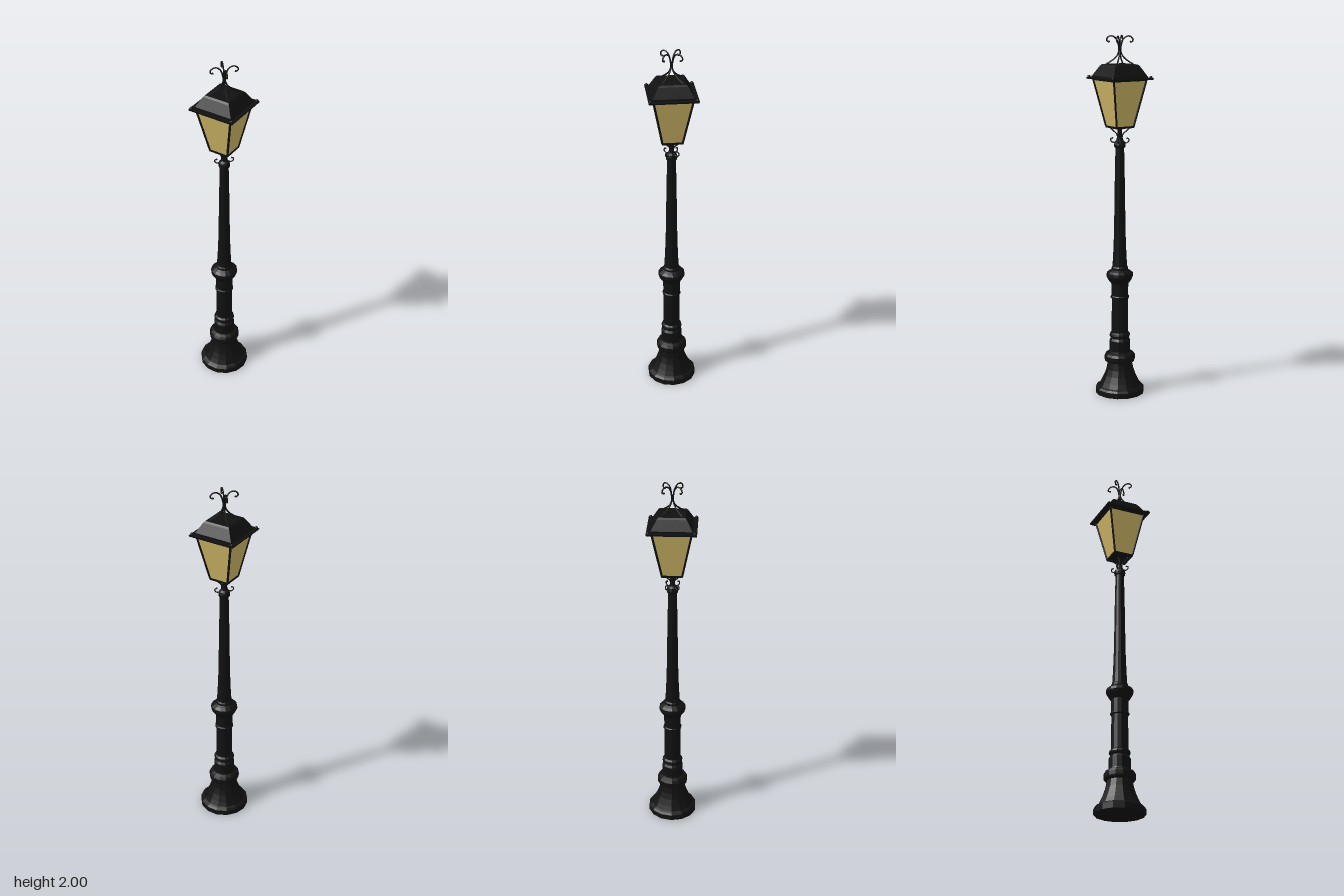
import * as THREE from 'three';

const iron = new THREE.MeshStandardMaterial({ color: 0x111111 });
const ironFlat = new THREE.MeshStandardMaterial({ color: 0x111111, flatShading: true });
const glass = new THREE.MeshStandardMaterial({ color: 0xd0b868, flatShading: true });

const v = (x, y, z) => new THREE.Vector3(x, y, z);

function add(parent, name, geometry, material) {
  const mesh = new THREE.Mesh(geometry, material);
  mesh.name = name;
  parent.add(mesh);
  return mesh;
}

// Turned section from [radius, height] pairs, fourteen-sided
function turned(parent, name, points) {
  const geo = new THREE.LatheGeometry(points.map(([r, y]) => new THREE.Vector2(r, y)), 14);
  return add(parent, name, geo.rotateY(Math.PI / 2), ironFlat);
}

// Square frustum with given half widths
function frustum(parent, name, halfTop, halfBottom, y0, y1, material) {
  const geo = new THREE.CylinderGeometry(halfTop * Math.SQRT2, halfBottom * Math.SQRT2, y1 - y0, 4);
  geo.rotateY(Math.PI / 4).translate(0, (y0 + y1) / 2, 0);
  return add(parent, name, geo, material);
}

// Bent rod lying in the diagonal plane x = z, from [x, y] pairs
function scroll(parent, name, points, radius) {
  const curve = new THREE.CatmullRomCurve3(points.map(([x, y]) => v(x, y, x)));
  add(parent, name, new THREE.TubeGeometry(curve, 40, radius, 6), iron);
  const [x, y] = points[points.length - 1];
  add(parent, name + 'Tip', new THREE.SphereGeometry(radius * 1.4, 8, 6), iron).position.set(x, y, x);
}

function bar(parent, name, a, b, radius) {
  add(parent, name, new THREE.TubeGeometry(new THREE.LineCurve3(a, b), 1, radius, 6), iron);
}

export function createModel() {
  const lamp = new THREE.Group();
  lamp.name = 'streetLamp';

  // Post, from the ground upward
  turned(lamp, 'base', [
    [0, 0], [0.137, 0], [0.137, 0.03], [0.128, 0.04], [0.117, 0.045], [0.104, 0.07],
    [0.088, 0.105], [0.076, 0.14], [0.068, 0.18], [0.083, 0.185], [0.086, 0.195],
    [0.086, 0.217], [0.078, 0.23], [0.06, 0.238], [0.058, 0.245],
  ]);
  turned(lamp, 'lowerColumn', [
    [0.058, 0.245], [0.058, 0.305], [0.049, 0.318], [0.055, 0.325], [0.058, 0.335],
    [0.055, 0.345], [0.046, 0.352], [0.045, 0.545], [0.051, 0.55], [0.051, 0.56],
    [0.047, 0.565], [0.048, 0.635],
  ]);
  turned(lamp, 'bulb', [
    [0.048, 0.635], [0.056, 0.642], [0.069, 0.662], [0.075, 0.678], [0.073, 0.694],
    [0.06, 0.705], [0.046, 0.713], [0.046, 0.725], [0.041, 0.732],
  ]);
  turned(lamp, 'shaft', [
    [0.041, 0.732], [0.037, 0.8], [0.033, 0.9], [0.031, 1.0], [0.028, 1.2], [0.024, 1.392],
    [0.03, 1.397], [0.032, 1.41], [0.028, 1.425], [0.016, 1.435], [0.013, 1.455],
    [0.013, 1.49], [0.018, 1.508], [0, 1.508],
  ]);

  // Lantern body
  const lantern = new THREE.Group();
  lantern.name = 'lantern';
  lamp.add(lantern);
  frustum(lantern, 'lanternFloor', 0.058, 0.056, 1.503, 1.514, ironFlat);
  frustum(lantern, 'glassPanes', 0.103, 0.053, 1.512, 1.768, glass);
  frustum(lantern, 'eaves', 0.132, 0.13, 1.765, 1.774, ironFlat);
  frustum(lantern, 'roofRim', 0.11, 0.11, 1.774, 1.783, ironFlat);
  frustum(lantern, 'roof', 0.078, 0.108, 1.783, 1.836, ironFlat);
  frustum(lantern, 'roofCap', 0.07, 0.078, 1.836, 1.845, ironFlat);

  // Parts repeated at each corner
  for (let i = 0; i < 4; i++) {
    const corner = new THREE.Group();
    corner.name = 'corner' + (i + 1);
    corner.rotation.y = i * Math.PI / 2;
    lantern.add(corner);

    bar(corner, 'cornerPost', v(0.054, 1.512, 0.054), v(0.104, 1.767, 0.104), 0.006);
    bar(corner, 'topRail', v(-0.103, 1.763, 0.103), v(0.103, 1.763, 0.103), 0.005);
    add(corner, 'eavesKnob', new THREE.SphereGeometry(0.009, 10, 8), iron).position.set(0.121, 1.777, 0.121);

    // Crowning scroll and the bracket beneath the lantern
    scroll(corner, 'crownScroll', [
      [0.056, 1.843], [0.034, 1.862], [0.014, 1.885], [0.004, 1.915], [0.006, 1.95],
      [0.014, 1.98], [0.028, 1.995], [0.042, 1.993], [0.051, 1.979], [0.049, 1.967], [0.042, 1.965],
    ], 0.004);
    scroll(corner, 'bracket', [
      [0.04, 1.507], [0.026, 1.487], [0.013, 1.47], [0.009, 1.45], [0.014, 1.43],
      [0.025, 1.422], [0.035, 1.43], [0.035, 1.443], [0.029, 1.446],
    ], 0.0035);
  }
  return lamp;
}
